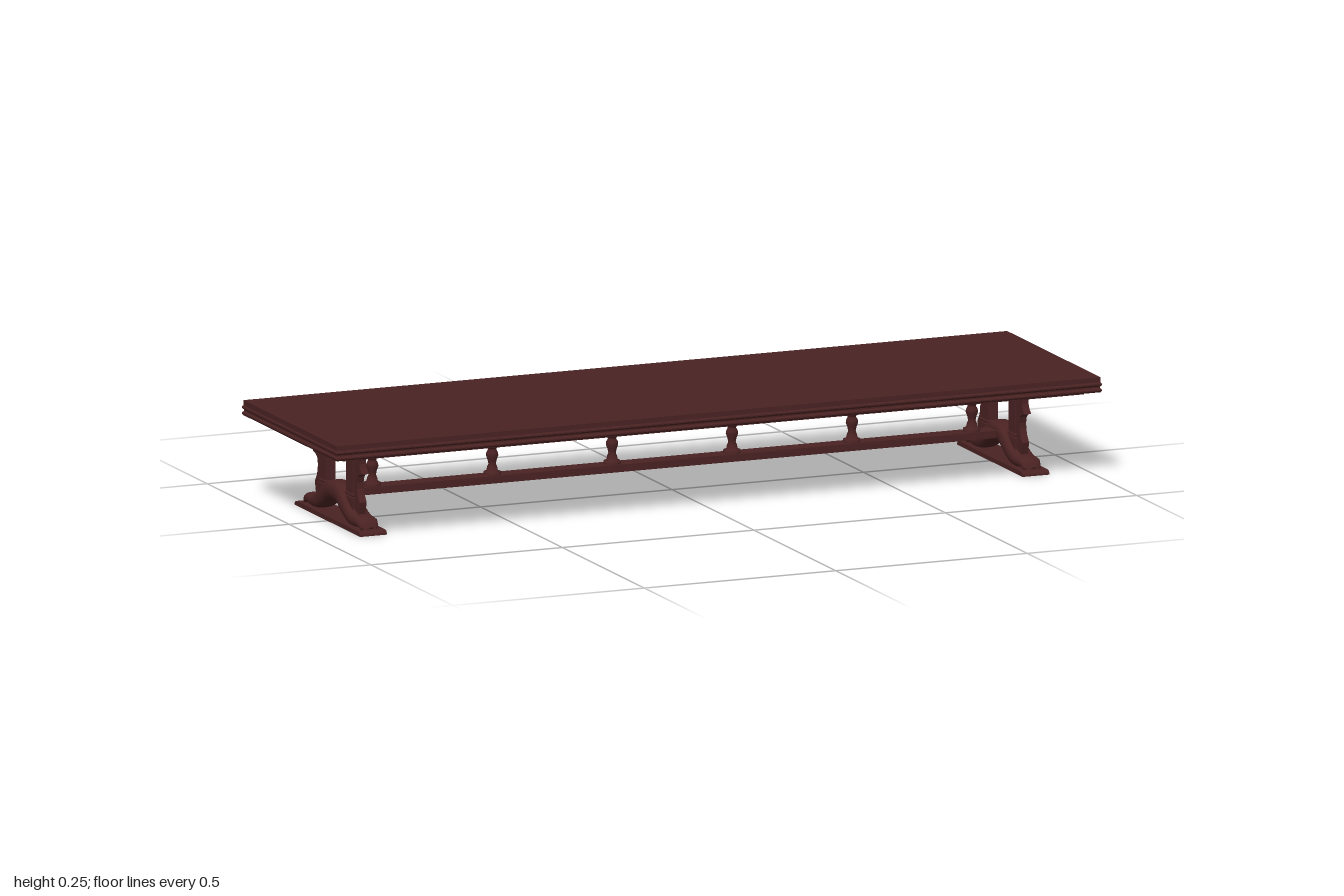
import * as THREE from 'three';

const wood = new THREE.MeshStandardMaterial({ color: 0x4a2222 });
wood.name = 'dark mahogany';

function add(parent, name, geometry, x = 0, y = 0, z = 0) {
  const mesh = new THREE.Mesh(geometry, wood);
  mesh.name = name;
  mesh.position.set(x, y, z);
  parent.add(mesh);
  return mesh;
}

// Closed solid through rings of equal point count, with fan caps on both ends
function loft(rings, flat) {
  const n = rings[0].length, pos = rings.flat(2), index = [];
  const last = rings.length - 1;
  for (let r = 0; r < last; r++) {
    for (let i = 0; i < n; i++) {
      const a = r * n + i, b = r * n + (i + 1) % n;
      index.push(a, a + n, b, b, a + n, b + n);
    }
  }
  for (let i = 1; i < n - 1; i++) {
    index.push(0, i, i + 1, last * n, last * n + i + 1, last * n + i);
  }
  let geo = new THREE.BufferGeometry();
  geo.setAttribute('position', new THREE.Float32BufferAttribute(pos, 3));
  geo.setIndex(index);
  if (flat) geo = geo.toNonIndexed();
  geo.computeVertexNormals();
  return geo;
}

// Rectangular block whose sides follow a moulding profile of [offset, y], top to bottom
function mouldedBlock(hx, hz, profile) {
  return loft(profile.map(([o, y]) => [
    [hx + o, y, hz + o], [hx + o, y, -hz - o], [-hx - o, y, -hz - o], [-hx - o, y, hz + o],
  ]), true);
}

// Curved foot: rounded sections between an upper and a lower outline of [z, y]
function archGeometry() {
  const mirrored = (half) => [...half, ...half.slice(0, -1).reverse().map(([z, y]) => [-z, y])];
  const curve = (half) => new THREE.CatmullRomCurve3(
    mirrored(half).map(([z, y]) => new THREE.Vector3(0, y, z)), false, 'centripetal');
  const upper = curve([[0.182, 0.013], [0.174, 0.027], [0.162, 0.037], [0.127, 0.040],
    [0.092, 0.055], [0.055, 0.082], [0.027, 0.094], [0, 0.096]]);
  const lower = curve([[0.168, 0.010], [0.160, 0.012], [0.152, 0.012], [0.125, 0.009],
    [0.095, 0.011], [0.062, 0.026], [0.033, 0.045], [0, 0.050]]);
  const rings = [], steps = 42, sides = 16;
  const soft = (v) => Math.sign(v) * Math.abs(v) ** 0.7;
  for (let s = 0; s <= steps; s++) {
    const t = upper.getPoint(s / steps), b = lower.getPoint(s / steps);
    const width = 0.029 * (1 - 0.25 * Math.abs(2 * s / steps - 1) ** 4);
    rings.push(Array.from({ length: sides }, (_, i) => {
      const a = i / sides * Math.PI * 2, k = (1 + soft(Math.cos(a))) / 2;
      return [-width * soft(Math.sin(a)), b.y + (t.y - b.y) * k, b.z + (t.z - b.z) * k];
    }));
  }
  return loft(rings, false);
}

// Scroll-cut bracket on the outer face of a post
function bracketGeometry(side) {
  const outline = [[0.152, 0.203], [0.143, 0.188], [0.134, 0.173], [0.134, 0.163], [0.138, 0.154],
    [0.150, 0.141], [0.133, 0.137], [0.123, 0.130], [0.119, 0.115], [0.120, 0.100], [0.125, 0.086],
    [0.137, 0.069], [0.134, 0.055], [0.129, 0.035], [0.095, 0.030], [0.095, 0.203]];
  const shape = new THREE.Shape(outline.map(([z, y]) => new THREE.Vector2(z * side, y)));
  const geo = new THREE.ExtrudeGeometry(shape, { depth: 0.018, bevelEnabled: false });
  return geo.translate(0, 0, -0.009).rotateY(-Math.PI / 2);
}

function trestle() {
  const g = new THREE.Group();
  g.name = 'trestle';
  // Floor plate with rounded ends
  const sole = new THREE.Shape();
  sole.moveTo(-0.2, 0);
  sole.lineTo(0.2, 0);
  sole.quadraticCurveTo(0.2, 0.011, 0.188, 0.011);
  sole.lineTo(-0.188, 0.011);
  sole.quadraticCurveTo(-0.2, 0.011, -0.2, 0);
  const soleGeo = new THREE.ExtrudeGeometry(sole, { depth: 0.07, bevelEnabled: false });
  add(g, 'floorPlate', soleGeo.translate(0, 0, -0.035).rotateY(-Math.PI / 2));
  add(g, 'archedFoot', archGeometry());
  // Twin posts with capital, base moulding and outer bracket
  for (const side of [1, -1]) {
    add(g, 'post', mouldedBlock(0.013, 0.0205, [
      [0.003, 0.203], [0.004, 0.196], [0.003, 0.190], [0.005, 0.183], [0.003, 0.178],
      [0.002, 0.174], [0.003, 0.171], [0, 0.169], [0, 0.085], [0.002, 0.083], [0.002, 0.079],
      [0, 0.077], [0.002, 0.074], [0.002, 0.030],
    ]), 0, 0, side * 0.083);
    add(g, 'bracket', bracketGeometry(side));
  }
  return g;
}

export function createModel() {
  const table = new THREE.Group();
  table.name = 'trestleTable';

  // Top with a double-bead edge, and the slab below it
  add(table, 'tableTop', mouldedBlock(0.997, 0.285, [
    [0, 0.248], [0, 0.236], [0.003, 0.232], [0.003, 0.229], [-0.001, 0.225], [-0.001, 0.222],
    [0.003, 0.218], [0.003, 0.215], [0, 0.211],
  ]));
  add(table, 'underFrame', new THREE.BoxGeometry(1.936, 0.01, 0.506), 0, 0.207, 0);

  for (const x of [0.865, -0.865]) {
    const t = trestle();
    t.position.x = x;
    table.add(t);
  }

  // Long rails joining the trestles
  add(table, 'upperRail', new THREE.BoxGeometry(1.73, 0.009, 0.046), 0, 0.1985, 0);
  add(table, 'stretcher', new THREE.BoxGeometry(1.73, 0.018, 0.046), 0, 0.069, 0);

  // Turned balusters between the rails
  const turned = [[0.021, 0.077], [0.021, 0.085], [0.014, 0.088], [0.012, 0.097], [0.009, 0.104],
    [0.011, 0.114], [0.015, 0.125], [0.014, 0.132], [0.010, 0.139], [0.011, 0.143], [0.016, 0.147],
    [0.0195, 0.153], [0.015, 0.158], [0.010, 0.162], [0.012, 0.169], [0.016, 0.180],
    [0.015, 0.186], [0.012, 0.190], [0.018, 0.195]];
  const balusterGeo = new THREE.LatheGeometry(turned.map(([r, y]) => new THREE.Vector2(r, y)), 16);
  for (let i = 0; i < 6; i++) add(table, 'baluster', balusterGeo, -0.783 + i * 0.3132);

  return table;
}
